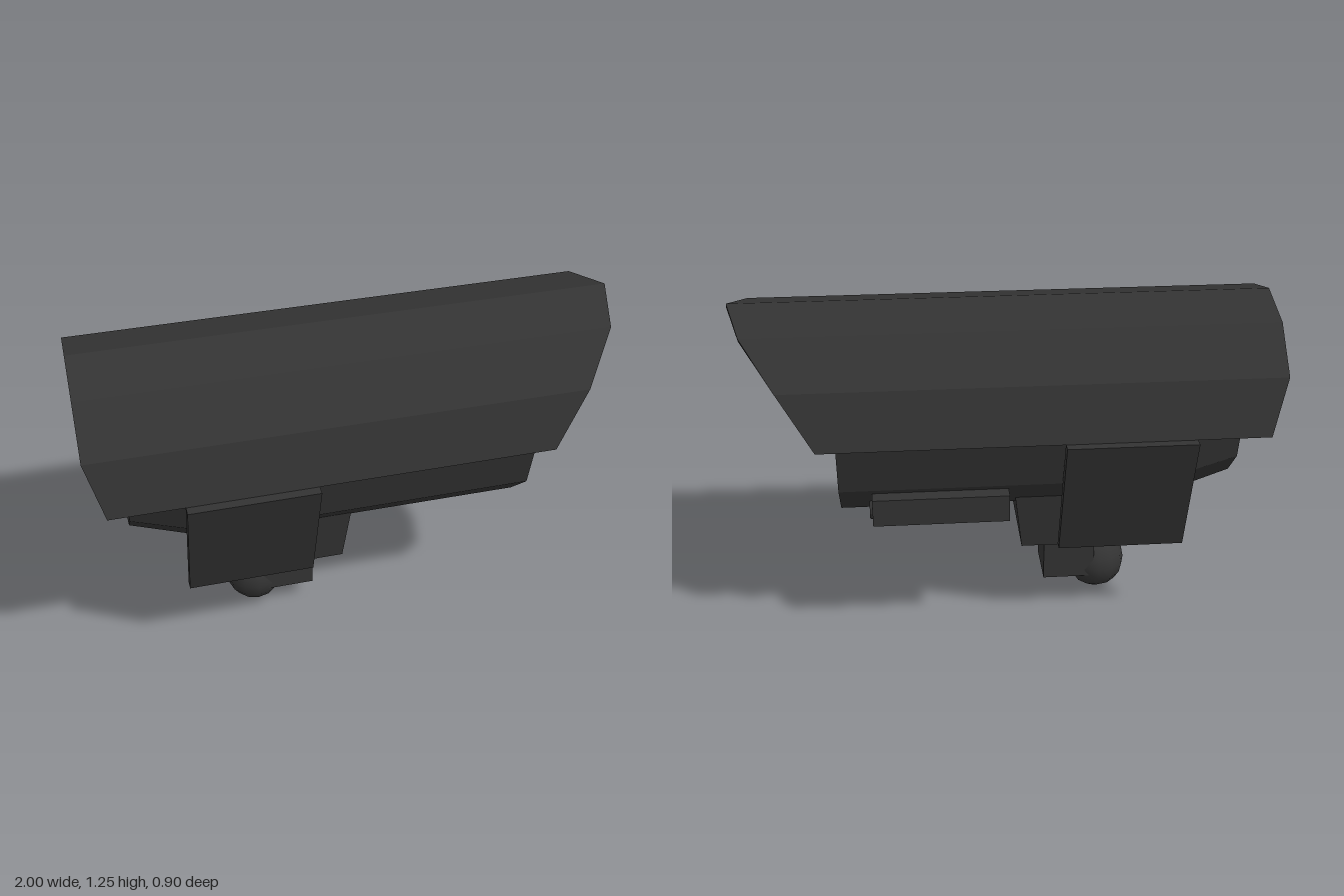
import * as THREE from 'three';

const AXIS_Y = 0.835; // height of the barrel axis
const SIDES = 12;

const mat = (color, flatShading = true) => new THREE.MeshStandardMaterial({ color, flatShading });
const dark = mat(0x333333);
const face = mat(0x444444);

function add(group, name, geometry, material = dark) {
  const mesh = new THREE.Mesh(geometry, material);
  mesh.name = name;
  group.add(mesh);
  return mesh;
}

// Faceted turned part along +x; profile is [radius, x] pairs
function turned(profile, y = AXIS_Y, z = 0, sides = SIDES) {
  const g = new THREE.LatheGeometry(profile.map(([r, x]) => new THREE.Vector2(r, x)), sides);
  return g.rotateZ(-Math.PI / 2).translate(0, y, z);
}

// Cross-section of [z, y] points extruded from x0 to x1
function extrudeX(points, x0, x1) {
  const shape = new THREE.Shape(points.map(([z, y]) => new THREE.Vector2(-z, y)));
  const g = new THREE.ExtrudeGeometry(shape, { depth: x1 - x0, bevelEnabled: false });
  return g.rotateY(Math.PI / 2).translate(x0, 0, 0);
}

// Half-round shell whose ends are trimmed differently at each corner
function hoodGeometry() {
  const front = [0.69, 0.82, 0.945, 1, 0.945, 0.82, 0.69];
  const rear = [-0.94, -1, -1, -1, -1, -1, -0.94];
  const rings = front.map((xf, k) => {
    const a = (k / 6) * Math.PI;
    const at = (r, x) => [x, AXIS_Y + r * Math.sin(a), r * Math.cos(a)];
    return [at(0.415, xf), at(0.415, rear[k]), at(0.4, rear[k]), at(0.4, xf)];
  });
  const pos = [];
  const quad = (a, b, c, d) => pos.push(...a, ...b, ...c, ...a, ...c, ...d);
  for (let k = 0; k < 6; k++) {
    for (let i = 0; i < 4; i++) {
      const j = (i + 1) % 4;
      quad(rings[k][i], rings[k + 1][i], rings[k + 1][j], rings[k][j]);
    }
  }
  quad(...rings[0]);
  quad(...[...rings[6]].reverse());
  const g = new THREE.BufferGeometry();
  g.setAttribute('position', new THREE.Float32BufferAttribute(pos, 3));
  g.computeVertexNormals();
  return g;
}

export function createModel() {
  const model = new THREE.Group();
  model.name = 'securityCamera';

  // Barrel with tapered rear and recessed front
  add(model, 'barrel', turned([[0, -0.86], [0.3, -0.86], [0.39, -0.57], [0.39, 0.62], [0.355, 0.62], [0.355, 0.54]]));
  add(model, 'frontPlate', turned([[0.355, 0.54], [0, 0.54]]), face);

  // Lens tube and glass
  add(model, 'lensTube', turned([[0.123, 0.54], [0.123, 0.69], [0.105, 0.69], [0.1, 0.64]]), face);
  add(model, 'lensGlass', turned([[0.102, 0.65], [0, 0.65]]), face);

  // Sun hood
  const hoodMat = dark.clone();
  hoodMat.side = THREE.DoubleSide;
  add(model, 'hood', hoodGeometry(), hoodMat);

  // Slanted side plates
  for (const [name, s] of [['sidePlateLeft', 1], ['sidePlateRight', -1]]) {
    const section = [[0.452, 0.835], [0.279, 0.33], [0.243, 0.33], [0.41, 0.835]];
    add(model, name, extrudeX(section.map(([z, y]) => [s * z, y]), -0.67, -0.195));
  }

  // Sensor housing on one flank, with a small socket
  const sensor = new THREE.Group();
  sensor.name = 'sensor';
  add(sensor, 'sensorHousing', extrudeX([[-0.2, 0.51], [-0.37, 0.51], [-0.37, 0.615], [-0.2, 0.615]], 0, 0.5));
  add(sensor, 'sensorRing', turned([[0.035, 0.5], [0.032, 0.51], [0.018, 0.51], [0.014, 0.502]], 0.557, -0.327));
  add(sensor, 'sensorLens', turned([[0.016, 0.504], [0, 0.504]], 0.557, -0.327), mat(0x3d5560));
  model.add(sensor);

  // Tapered mounting base, neck and ball joint
  const base = new THREE.CylinderGeometry(0.228 * Math.SQRT2, 0.199 * Math.SQRT2, 0.24, 4);
  add(model, 'mountBase', base.rotateY(Math.PI / 4).translate(-0.26, 0.42, 0));
  add(model, 'neck', new THREE.BoxGeometry(0.2, 0.23, 0.2).translate(-0.26, 0.205, 0));
  add(model, 'ballJoint', new THREE.SphereGeometry(0.115, 12, 8).translate(-0.38, 0.115, 0), mat(0x333333, false));

  return model;
}
